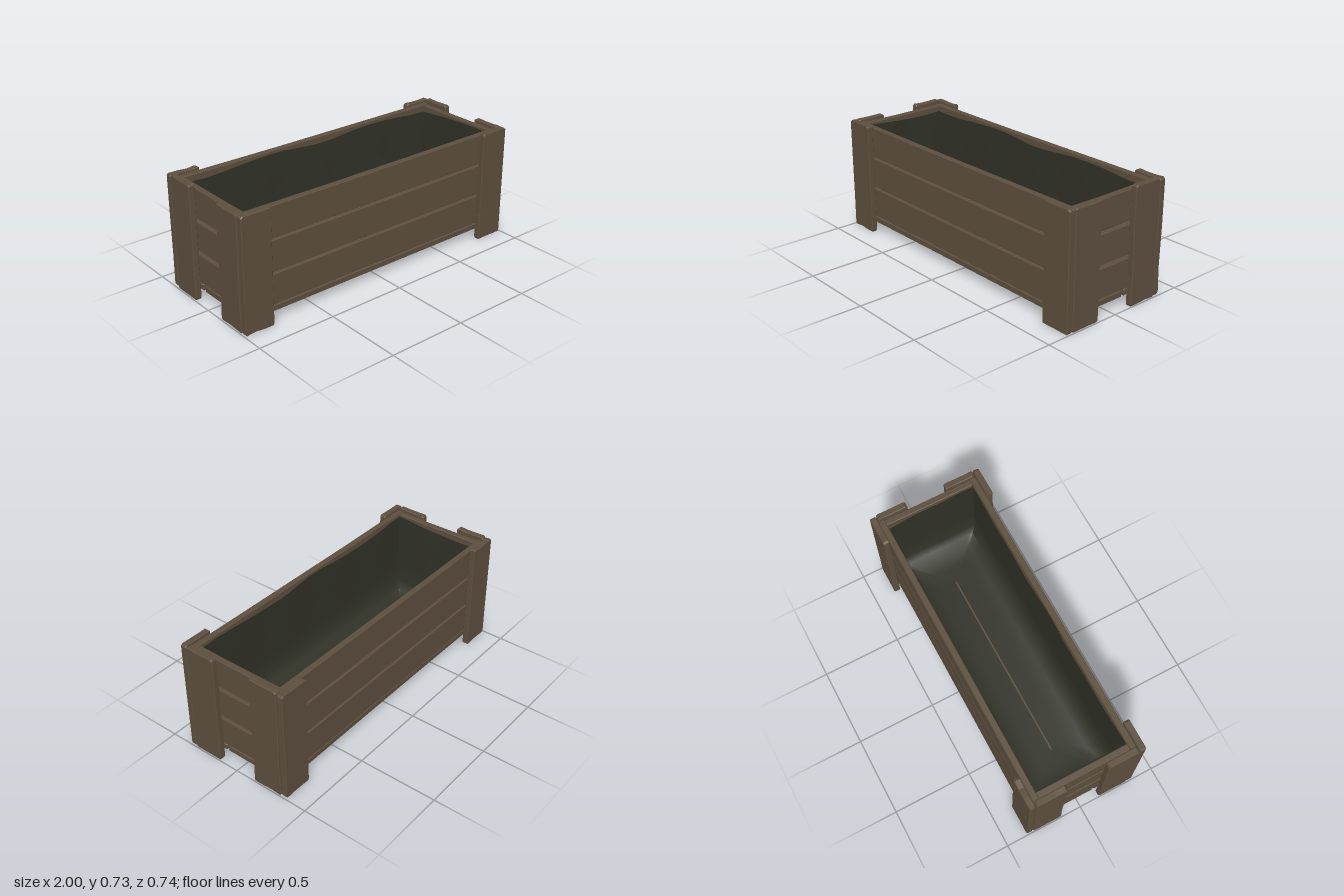
import * as THREE from 'three';
import { toCreasedNormals } from 'three/addons/utils/BufferGeometryUtils.js';
import { ParametricGeometry } from 'three/addons/geometries/ParametricGeometry.js';

const wood = new THREE.MeshStandardMaterial({ color: 0x5d4f3e });
wood.name = 'weathered wood';
const fabric = new THREE.MeshStandardMaterial({ color: 0x303126, side: THREE.DoubleSide });
fabric.name = 'dark green liner';

let seed = 7;
const rand = () => (seed = (seed * 16807) % 2147483647) / 2147483647;

// Worn board in the XY plane, centred on the origin, with chipped corners and bevelled edges
function board(name, w, h, t, chip, wear = 0.003) {
  const x = w / 2, y = h / 2, b = 0.004;
  const r = () => chip * (0.4 + 0.6 * rand()), k = () => wear * rand();
  const pts = [
    [-x + r(), -y], [-x * 0.2, -y + k()], [x * 0.3, -y + k()], [x - r(), -y],
    [x, -y + r() * 1.6], [x - k(), -y * 0.4], [x, y * 0.3], [x, y - r()],
    [x - r(), y], [x * 0.25, y - k()], [-x * 0.35, y - k()], [-x + r(), y],
    [-x, y - r()], [-x, y * 0.2], [-x + k(), -y * 0.5], [-x, -y + r() * 1.6],
  ].map(p => new THREE.Vector2(...p));
  const geo = new THREE.ExtrudeGeometry(new THREE.Shape(pts), {
    depth: t - 2 * b, bevelThickness: b, bevelSize: b, bevelOffset: -b, bevelSegments: 1,
  });
  geo.translate(0, 0, -(t - 2 * b) / 2);
  const mesh = new THREE.Mesh(geo, wood);
  mesh.name = name;
  return mesh;
}

// Corner board with small nail heads on its outer (+z) face
function post(name, w, h, t) {
  const g = new THREE.Group();
  g.name = name;
  g.add(board(name + 'Board', w, h, t, 0.013, 0.006));
  for (const y of [0.187, 0.395, 0.612]) for (const x of [-0.33, 0.33]) {
    const nail = new THREE.Mesh(new THREE.CylinderGeometry(0.004, 0.004, 0.006, 8), wood);
    nail.name = 'nail';
    nail.rotation.x = Math.PI / 2;
    nail.position.set(x * w + (rand() - 0.5) * 0.02, y - h / 2 + (rand() - 0.5) * 0.01, t / 2);
    g.add(nail);
  }
  return g;
}

// Open fabric bag: a rectangular loop that follows an inset/height profile down to the floor
function liner() {
  const profile = [[0, 0.672], [0.004, 0.5], [0.002, 0.32], [0.008, 0.2], [0.035, 0.15],
    [0.09, 0.128], [0.18, 0.122], [0.281, 0.12]];
  const corners = [[1, 1], [-1, 1], [-1, -1], [1, -1], [1, 1]];
  const geo = new ParametricGeometry((u, v, out) => {
    const s = Math.min(u * 4, 3.99999), i = Math.floor(s), f = s - i;
    const [a, c] = [corners[i], corners[i + 1]];
    const [inset, y] = profile[Math.round(v * (profile.length - 1))];
    const px = a[0] + (c[0] - a[0]) * f, pz = a[1] + (c[1] - a[1]) * f;
    const sag = v < 0.05 ? 0.012 * Math.sin(px * 7 + pz * 2) : 0;
    const fold = 0.003 * (1 + Math.sin(px * 13 + pz * 5)) * (1 - v);
    out.set(px * (0.911 - inset - fold), y + sag, pz * (0.286 - inset - fold));
  }, 64, profile.length - 1);
  const mesh = new THREE.Mesh(toCreasedNormals(geo, 0.9), fabric);
  mesh.name = 'liner';
  return mesh;
}

export function createModel() {
  const model = new THREE.Group();
  model.name = 'planterBox';

  // Three rows of wall boards
  for (const [y0, y1] of [[0.1, 0.292], [0.303, 0.497], [0.508, 0.703]]) {
    for (const s of [1, -1]) {
      const long = board(s > 0 ? 'frontPlank' : 'backPlank', 1.91, y1 - y0, 0.038, 0.005, 0.004);
      long.position.set(0, (y0 + y1) / 2, s * 0.306);
      if (s < 0) long.rotation.y = Math.PI;
      model.add(long);

      const end = board(s > 0 ? 'leftPlank' : 'rightPlank', 0.574, y1 - y0 - 0.007, 0.038, 0.004, 0.003);
      end.position.set(s * 0.934, (y0 + y1) / 2 - 0.002, 0);
      end.rotation.y = s * Math.PI / 2;
      model.add(end);
    }
  }

  // Floor boards
  for (const [z0, z1] of [[-0.322, -0.119], [-0.1, 0.106], [0.118, 0.322]]) {
    const floor = board('floorPlank', 1.9, z1 - z0, 0.038, 0.006);
    floor.rotation.x = -Math.PI / 2;
    floor.position.set(0, 0.075, (z0 + z1) / 2);
    model.add(floor);
  }

  // Pairs of corner boards that form the legs
  for (const sx of [1, -1]) for (const sz of [1, -1]) {
    const corner = new THREE.Group();
    corner.name = (sz > 0 ? 'front' : 'back') + (sx > 0 ? 'Left' : 'Right') + 'Corner';
    const h = 0.718;
    const face = post('facePost', 0.192, h, 0.038);
    face.position.set(sx * 0.897, h / 2, sz * 0.346);
    if (sz < 0) face.rotation.y = Math.PI;
    const hs = sz > 0 ? 0.715 : 0.725;
    const side = post('sidePost', 0.194, hs, 0.038);
    side.position.set(sx * 0.976, hs / 2, sz * 0.226);
    side.rotation.y = sx * Math.PI / 2;
    corner.add(face, side);
    model.add(corner);
  }

  model.add(liner());
  return model;
}
